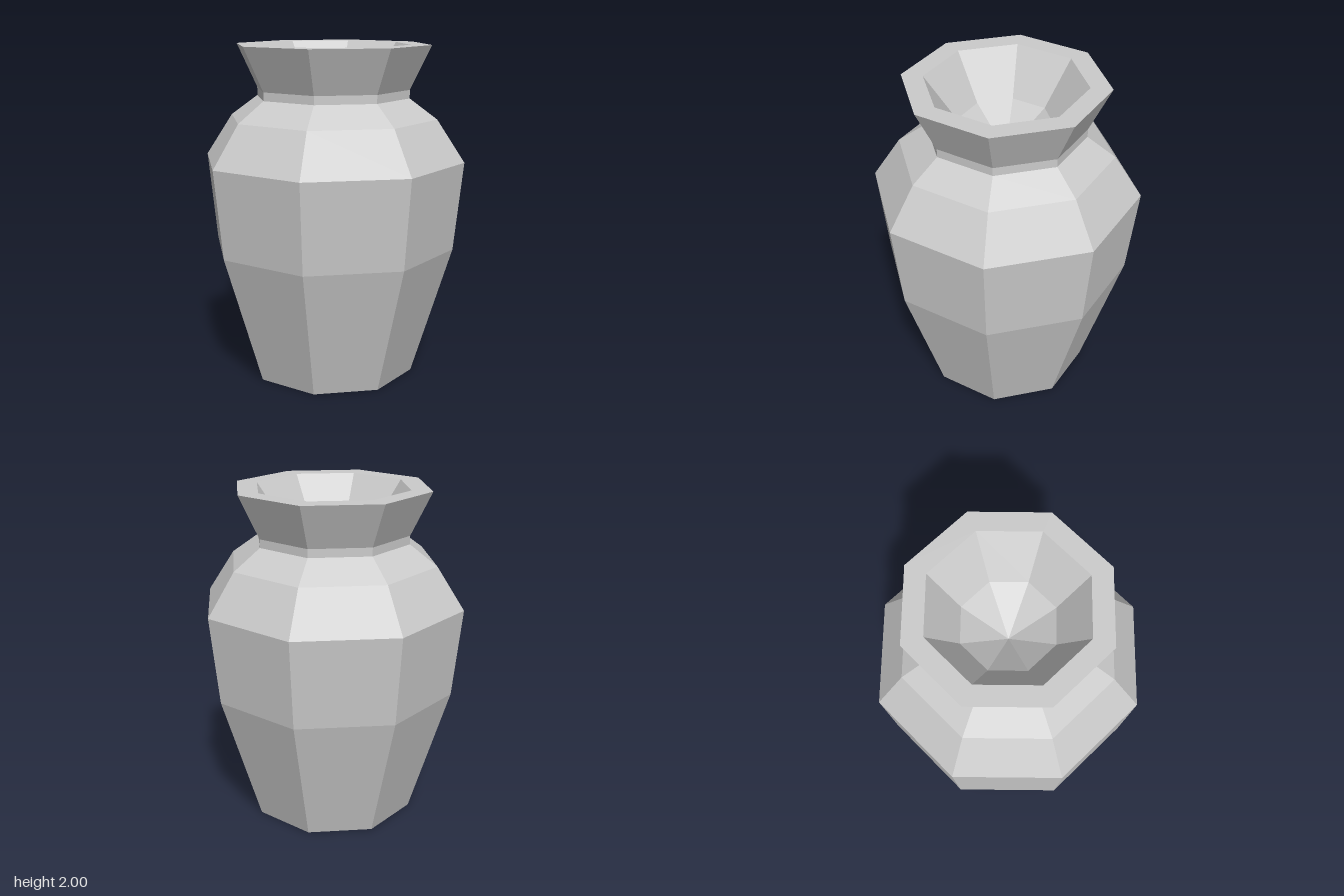
import * as THREE from 'three';

const SIDES = 8;

// Faceted ring of panels turned around the y axis from [radius, height] points
function turned(name, profile, material) {
  const points = profile.map(([r, y]) => new THREE.Vector2(r, y));
  const mesh = new THREE.Mesh(new THREE.LatheGeometry(points, SIDES), material);
  mesh.name = name;
  return mesh;
}

export function createModel() {
  const group = new THREE.Group();
  group.name = 'vase';
  const clay = new THREE.MeshStandardMaterial({ color: 0xcccccc, flatShading: true });

  group.add(
    // Flat underside
    turned('base', [[0, 0], [0.5, 0]], clay),
    // Tapered belly and two-step shoulder
    turned('body', [[0.5, 0], [0.74, 0.79], [0.795, 1.32], [0.63, 1.57], [0.465, 1.69]], clay),
    // Short neck and flared collar
    turned('neck', [[0.465, 1.69], [0.465, 1.74], [0.59, 2]], clay),
    // Flat lip
    turned('rim', [[0.59, 2], [0.465, 2]], clay),
    // Shallow hollow closing to a point
    turned('mouth', [[0.465, 2], [0.28, 1.74], [0, 1.55]], clay),
  );
  return group;
}
